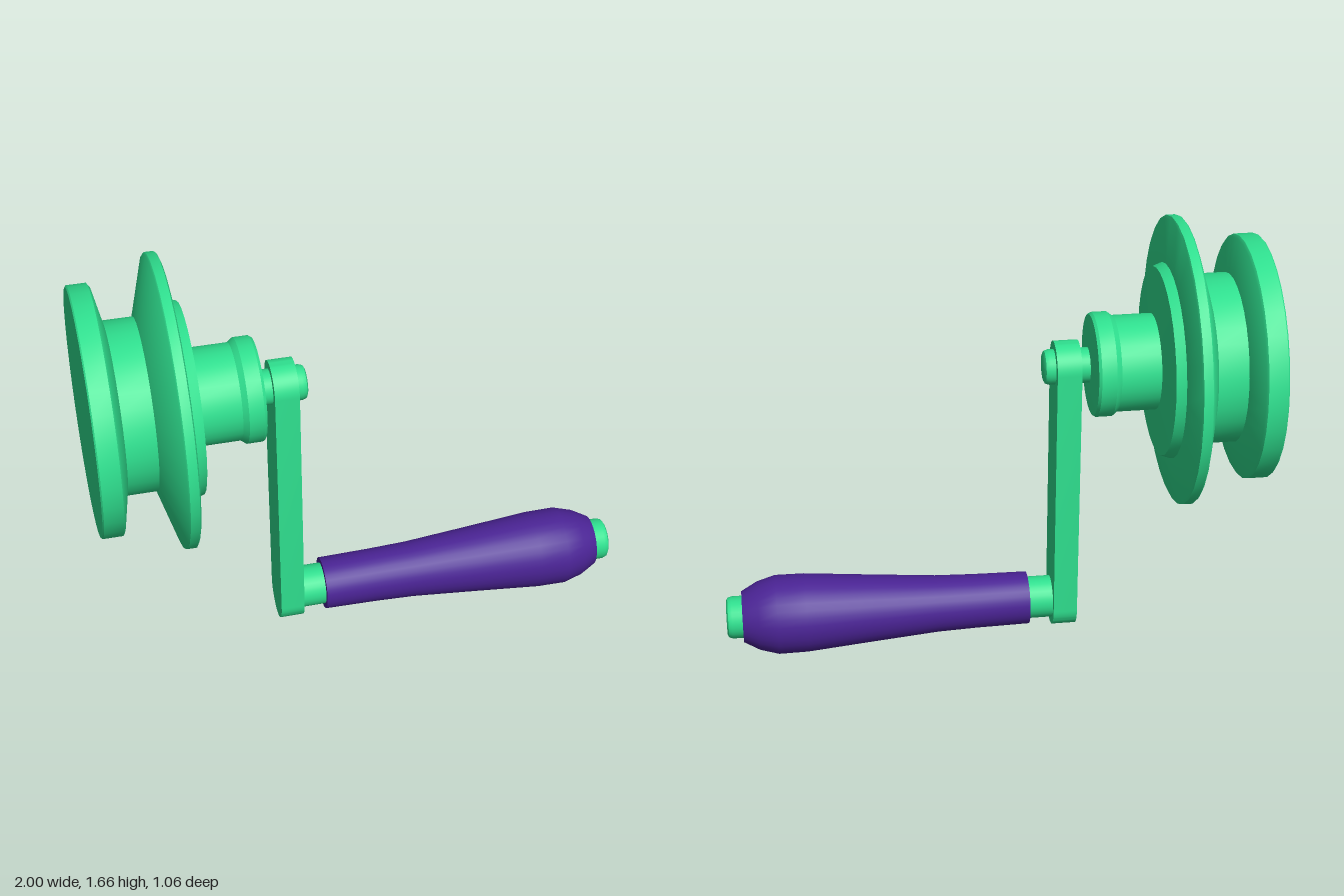
import * as THREE from 'three';
import { toCreasedNormals } from 'three/addons/utils/BufferGeometryUtils.js';

const AXLE_Y = 1.13, HANDLE_Y = 0.15;
const green = new THREE.MeshStandardMaterial({ color: 0x2fe08f });
const purple = new THREE.MeshStandardMaterial({ color: 0x4a2394 });

// Turned part along x from [x, radius] pairs, listed left to right
function turned(name, profile, y, material) {
  const points = profile.map(([x, r]) => new THREE.Vector2(r, x));
  const geometry = new THREE.LatheGeometry(points, 32).rotateZ(-Math.PI / 2);
  const mesh = new THREE.Mesh(toCreasedNormals(geometry, 0.6), material);
  mesh.position.y = y;
  mesh.name = name;
  return mesh;
}

export function createModel() {
  const group = new THREE.Group();
  group.name = 'crankHandle';

  // Grooved wheel with its stepped hub
  group.add(turned('wheel', [
    [-1, 0], [-1, 0.445], [-0.995, 0.45], [-0.925, 0.45], [-0.918, 0.44],
    [-0.89, 0.312], [-0.78, 0.312], [-0.715, 0.525], [-0.71, 0.53], [-0.677, 0.53], [-0.672, 0.52],
    [-0.655, 0.36], [-0.62, 0.347], [-0.605, 0.177], [-0.46, 0.177],
    [-0.44, 0.192], [-0.385, 0.192], [-0.375, 0.185], [-0.365, 0.06], [-0.365, 0],
  ], AXLE_Y, green));

  // Axle stub passing through the arm
  group.add(turned('axle', [
    [-0.4, 0], [-0.4, 0.065], [-0.22, 0.065], [-0.205, 0.06], [-0.2, 0.05], [-0.2, 0],
  ], AXLE_Y, green));

  // Arm with rounded ends
  const r = 0.095, bottom = 0.135;
  const outline = new THREE.Shape();
  outline.absarc(0, AXLE_Y, r, 0, Math.PI, false);
  outline.absarc(0, bottom, r, Math.PI, Math.PI * 2, false);
  outline.closePath();
  const armGeometry = new THREE.ExtrudeGeometry(outline, { depth: 0.09, bevelEnabled: false, curveSegments: 16 });
  armGeometry.rotateY(Math.PI / 2).translate(-0.33, 0, 0);
  const arm = new THREE.Mesh(toCreasedNormals(armGeometry, 0.6), green);
  arm.name = 'arm';
  group.add(arm);

  // Rod through the grip, showing at both ends
  group.add(turned('handleRod', [
    [-0.26, 0], [-0.26, 0.08], [0.98, 0.08], [0.994, 0.075], [1, 0.065], [1, 0],
  ], HANDLE_Y, green));

  // Swelling grip
  group.add(turned('grip', [
    [-0.15, 0.07], [-0.15, 0.1], [0.05, 0.103], [0.2, 0.108], [0.45, 0.128],
    [0.7, 0.149], [0.81, 0.15], [0.88, 0.13], [0.94, 0.097], [0.94, 0.07],
  ], HANDLE_Y, purple));

  return group;
}
